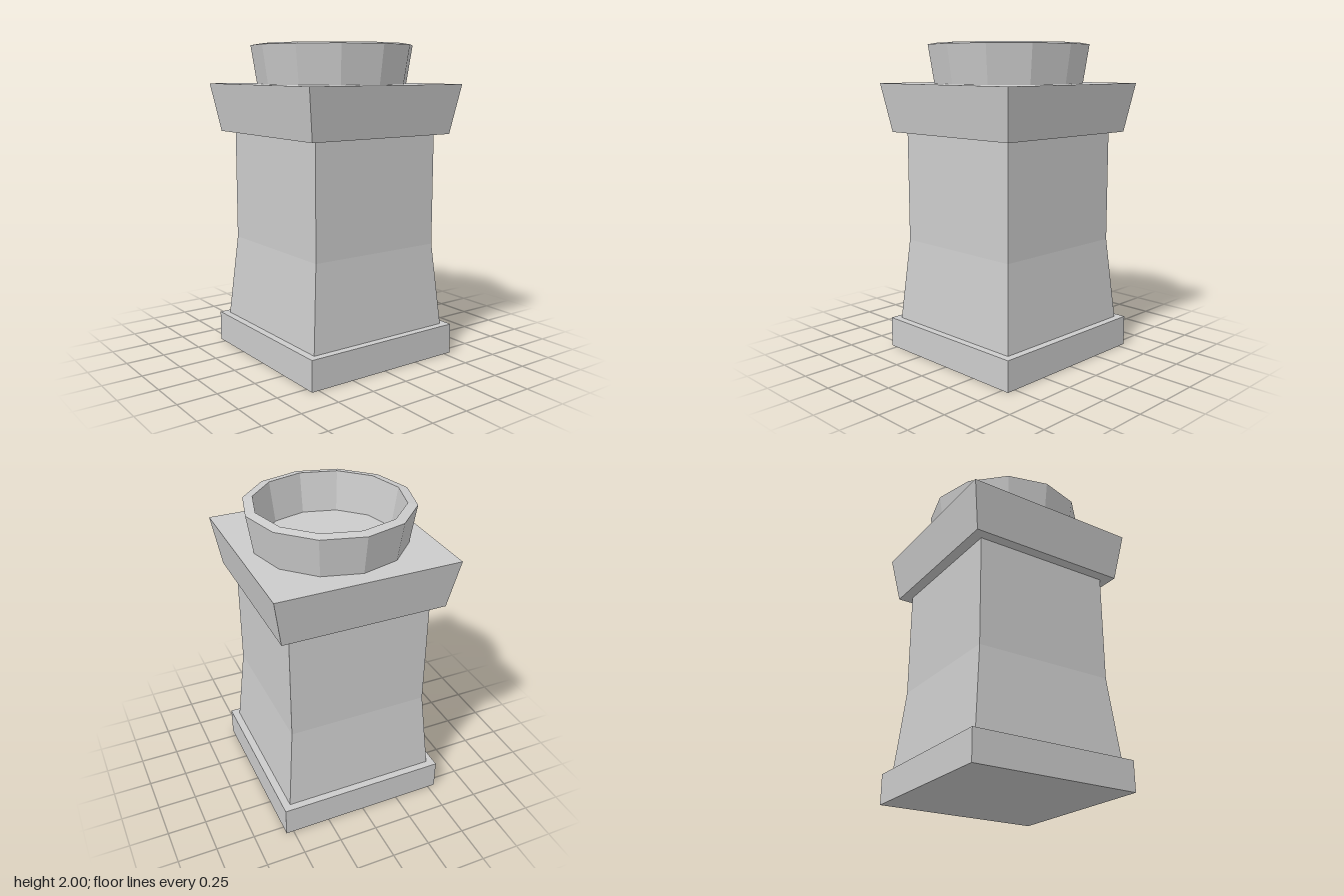
import * as THREE from 'three';

const material = new THREE.MeshStandardMaterial({ color: 0xcccccc, flatShading: true });

// Rectangular block through levels of [y, halfWidth, halfDepth], bottom to top
function block(name, levels) {
  const n = levels.length - 1;
  const geo = new THREE.BoxGeometry(2, n, 2, 1, n, 1);
  const p = geo.attributes.position;
  for (let i = 0; i < p.count; i++) {
    const [y, w, d] = levels[Math.round(p.getY(i) + n / 2)];
    p.setXYZ(i, p.getX(i) * w, y, p.getZ(i) * d);
  }
  geo.computeVertexNormals();
  const mesh = new THREE.Mesh(geo, material);
  mesh.name = name;
  return mesh;
}

export function createModel() {
  const group = new THREE.Group();
  group.name = 'pedestal';

  // Square plinth
  group.add(block('plinth', [[0, 0.548, 0.558], [0.195, 0.548, 0.558]]));

  // Shaft, flared towards the foot
  group.add(block('shaft', [[0.195, 0.5, 0.51], [0.73, 0.453, 0.463], [1.44, 0.453, 0.463]]));

  // Cap, widening upwards
  group.add(block('cap', [[1.44, 0.521, 0.531], [1.75, 0.573, 0.582]]));

  // Twelve-sided open collar: outer wall, sloping rim, inner wall
  const profile = [[0.478, 1.75], [0.516, 1.99], [0.456, 2], [0.417, 1.75]]
    .map(([r, y]) => new THREE.Vector2(r, y));
  const collar = new THREE.Mesh(new THREE.LatheGeometry(profile, 12), material);
  collar.name = 'collar';
  collar.position.z = -0.002;
  group.add(collar);

  return group;
}
